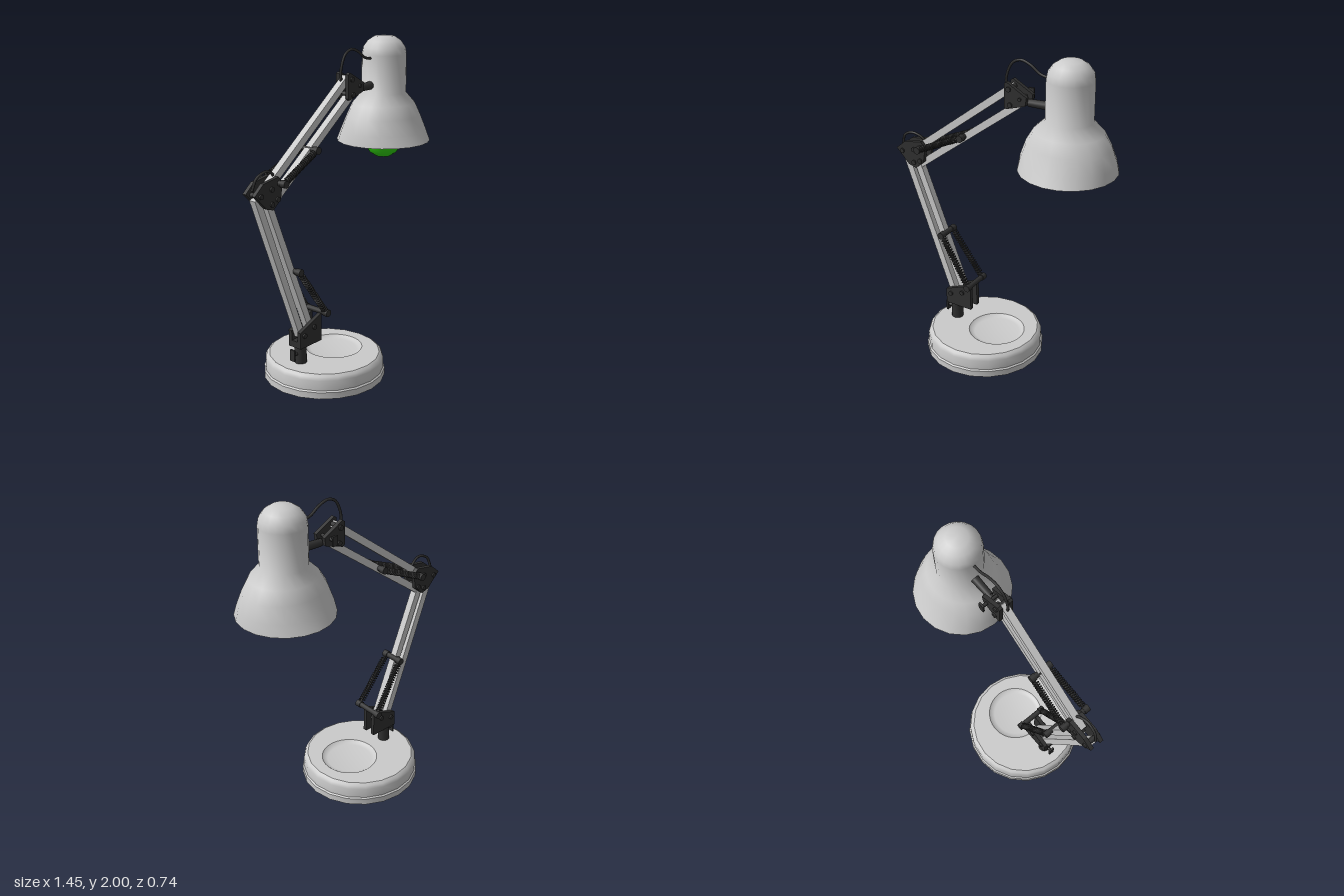
import * as THREE from 'three';
import { toCreasedNormals } from 'three/addons/utils/BufferGeometryUtils.js';

const grey = new THREE.MeshStandardMaterial({ color: 0xcccccc, side: THREE.DoubleSide });
const dark = new THREE.MeshStandardMaterial({ color: 0x303030, side: THREE.DoubleSide });
const green = new THREE.MeshStandardMaterial({ color: 0x33dd11 });

const V = (x, y, z = 0) => new THREE.Vector3(x, y, z);
const pts = (list) => list.map(([x, y]) => new THREE.Vector2(x, y));

export function createModel() {
  const model = new THREE.Group();

  function add(name, geometry, material, x = 0, y = 0, z = 0) {
    const mesh = new THREE.Mesh(geometry, material);
    mesh.name = name;
    mesh.position.set(x, y, z);
    model.add(mesh);
    return mesh;
  }

  // Turned part with crisp profile corners
  function lathe(name, profile, sides, material, x, z = 0) {
    const geo = toCreasedNormals(new THREE.LatheGeometry(pts(profile), sides), 0.7);
    return add(name, geo, material, x, 0, z);
  }

  // Stretch a y-aligned geometry's mesh between two points
  function between(name, geometry, material, a, b) {
    const mid = a.clone().add(b).multiplyScalar(0.5);
    const mesh = add(name, geometry, material, mid.x, mid.y, mid.z);
    mesh.quaternion.setFromUnitVectors(V(0, 1), b.clone().sub(a).normalize());
    return mesh;
  }

  const rod = (name, a, b, r, material = dark, r2 = r) =>
    between(name, new THREE.CylinderGeometry(r2, r, a.distanceTo(b), 12), material, a, b);

  const bar = (name, a, b) =>
    between(name, new THREE.BoxGeometry(0.043, a.distanceTo(b), 0.043), grey, a, b);

  const crossPin = (name, x, y, half, r) => rod(name, V(x, y, -half), V(x, y, half), r);

  // Pair of side plates with bolts through them
  function bracket(name, outline, bolts) {
    const geo = new THREE.ExtrudeGeometry(new THREE.Shape(pts(outline)), { depth: 0.024, bevelEnabled: false });
    for (const z of [-0.047, 0.023]) add(name + 'Plate', geo, dark, 0, 0, z);
    for (const [x, y] of bolts) crossPin(name + 'Bolt', x, y, 0.056, 0.015);
  }

  function cable(name, points) {
    const curve = new THREE.CatmullRomCurve3(points);
    add(name, new THREE.TubeGeometry(curve, 32, 0.008, 8), dark);
  }

  // Coil springs on both sides, hung between two cross pins
  function springPair(name, a, b) {
    crossPin(name + 'LowerPin', a.x, a.y, 0.1, 0.017);
    crossPin(name + 'UpperPin', b.x, b.y, 0.075, 0.017);
    for (const s of [-1, 1]) {
      const p = V(a.x, a.y, s * 0.08), q = V(b.x, b.y, s * 0.058);
      const len = p.distanceTo(q) - 0.05, turns = 20, steps = turns * 8;
      const coil = [];
      for (let i = 0; i <= steps; i++) {
        const t = (i / steps) * turns * Math.PI * 2;
        coil.push(V(Math.cos(t) * 0.016, (i / steps - 0.5) * len, Math.sin(t) * 0.016));
      }
      const geo = new THREE.TubeGeometry(new THREE.CatmullRomCurve3(coil), steps, 0.0055, 5);
      between(name + 'Coil', geo, dark, p, q);
      rod(name + 'Core', p, q, 0.007);
      for (const [end, r] of [[p, 0.1], [q, 0.075]])
        rod(name + 'Knob', V(end.x, end.y, s * (r - 0.035)), V(end.x, end.y, s * r), 0.022);
    }
  }

  // Round base with a rim and an off-centre shallow tray
  const bx = -0.122, dish = { x: -0.035, r: 0.175 };
  lathe('base', [[0, 0], [0.369, 0], [0.369, 0.04], [0.36, 0.048], [0.36, 0.11], [0.352, 0.13], [0.335, 0.142]], 20, grey, bx);
  const ring = (cx, r, n) => Array.from({ length: n }, (_, i) => {
    const t = (i / n) * Math.PI * 2;
    return new THREE.Vector2(cx + r * Math.sin(t), r * Math.cos(t));
  });
  const top = new THREE.Shape(ring(0, 0.335, 20));
  top.holes.push(new THREE.Path(ring(dish.x - bx, dish.r, 32)));
  add('baseTop', new THREE.ShapeGeometry(top).rotateX(-Math.PI / 2), grey, bx, 0.142);
  lathe('baseTray', [[0, 0.125], [0.14, 0.125], [0.16, 0.129], [dish.r, 0.142]], 32, grey, dish.x);

  // Post with clamping screw
  rod('post', V(-0.335, 0.135), V(-0.335, 0.27), 0.037);
  rod('postScrew', V(-0.335, 0.205), V(-0.4, 0.205), 0.01);
  add('postScrewWing', new THREE.BoxGeometry(0.012, 0.07, 0.035), dark, -0.403, 0.205);

  // Foot bracket
  bracket('foot', [[-0.385, 0.25], [-0.2, 0.25], [-0.2, 0.425], [-0.385, 0.35]], [[-0.35, 0.325], [-0.265, 0.355]]);
  add('footBlock', new THREE.BoxGeometry(0.1, 0.04, 0.05), dark, -0.335, 0.27);

  // Lower arm bars
  bar('lowerArmBack', V(-0.34, 0.315), V(-0.685, 1.22));
  bar('lowerArmFront', V(-0.258, 0.325), V(-0.6, 1.185));

  // Elbow bracket
  bracket('elbow',
    [[-0.73, 1.25], [-0.64, 1.16], [-0.59, 1.145], [-0.53, 1.195], [-0.515, 1.29], [-0.545, 1.325], [-0.665, 1.305]],
    [[-0.685, 1.24], [-0.6, 1.18], [-0.6, 1.265], [-0.555, 1.2]]);
  cable('elbowCable', [V(-0.71, 1.27, 0.005), V(-0.685, 1.335, 0.015), V(-0.62, 1.363, 0.02), V(-0.56, 1.34, 0.01), V(-0.53, 1.3, 0)]);

  // Upper arm bars
  bar('upperArmTop', V(-0.6, 1.26), V(0.08, 1.785));
  bar('upperArmBottom', V(-0.57, 1.167), V(0.145, 1.708));

  // Springs
  springPair('lowerSpring', V(-0.195, 0.432), V(-0.4, 0.735));
  springPair('upperSpring', V(-0.54, 1.288), V(-0.246, 1.42));

  // Head bracket, neck and wing screw
  bracket('head', [[0.045, 1.67], [0.058, 1.66], [0.182, 1.7], [0.19, 1.75], [0.06, 1.82], [0.045, 1.81]],
    [[0.075, 1.78], [0.085, 1.69]]);
  rod('neckPivot', V(0.1, 1.7), V(0.2, 1.71), 0.018);
  rod('neck', V(0.18, 1.708), V(0.33, 1.715), 0.022, dark, 0.026);
  rod('headScrew', V(0.148, 1.735, 0.056), V(0.148, 1.735, -0.085), 0.01);
  add('headScrewWing', new THREE.BoxGeometry(0.035, 0.06, 0.012), dark, 0.148, 1.735, -0.083);
  cable('headCable', [V(0.035, 1.76), V(0.032, 1.83), V(0.07, 1.92), V(0.125, 1.945), V(0.19, 1.925), V(0.25, 1.885), V(0.32, 1.872)]);

  // Shade: thin double wall, bell slightly slimmer front to back
  const lx = 0.437;
  const wall = [[0.286, 1.365], [0.278, 1.43], [0.248, 1.52], [0.203, 1.595], [0.136, 1.66], [0.135, 1.89],
    [0.128, 1.93], [0.1, 1.97], [0.062, 1.995], [0, 2]];
  const inner = wall.map(([r, y], i) => [Math.max(0, r - 0.01), i === 0 ? y : y - 0.008]).reverse();
  const shadeGeo = new THREE.LatheGeometry(pts([...inner, ...wall]), 20);
  const pos = shadeGeo.attributes.position;
  for (let i = 0; i < pos.count; i++) {
    const t = THREE.MathUtils.clamp((pos.getY(i) - 1.365) / 0.295, 0, 1);
    pos.setZ(i, pos.getZ(i) * (1 - 0.14 * Math.sin(Math.PI * t)));
  }
  add('shade', toCreasedNormals(shadeGeo, 0.9), grey, lx);

  // Bulb and socket
  const bulb = [[0, 1.254], [0.045, 1.263], [0.083, 1.288], [0.108, 1.325], [0.116, 1.37], [0.108, 1.415],
    [0.088, 1.46], [0.066, 1.51], [0.055, 1.56], [0.053, 1.6], [0, 1.6]];
  lathe('bulb', bulb, 24, green, lx);
  rod('socket', V(lx, 1.59), V(lx, 1.97), 0.06, grey);

  return model;
}
